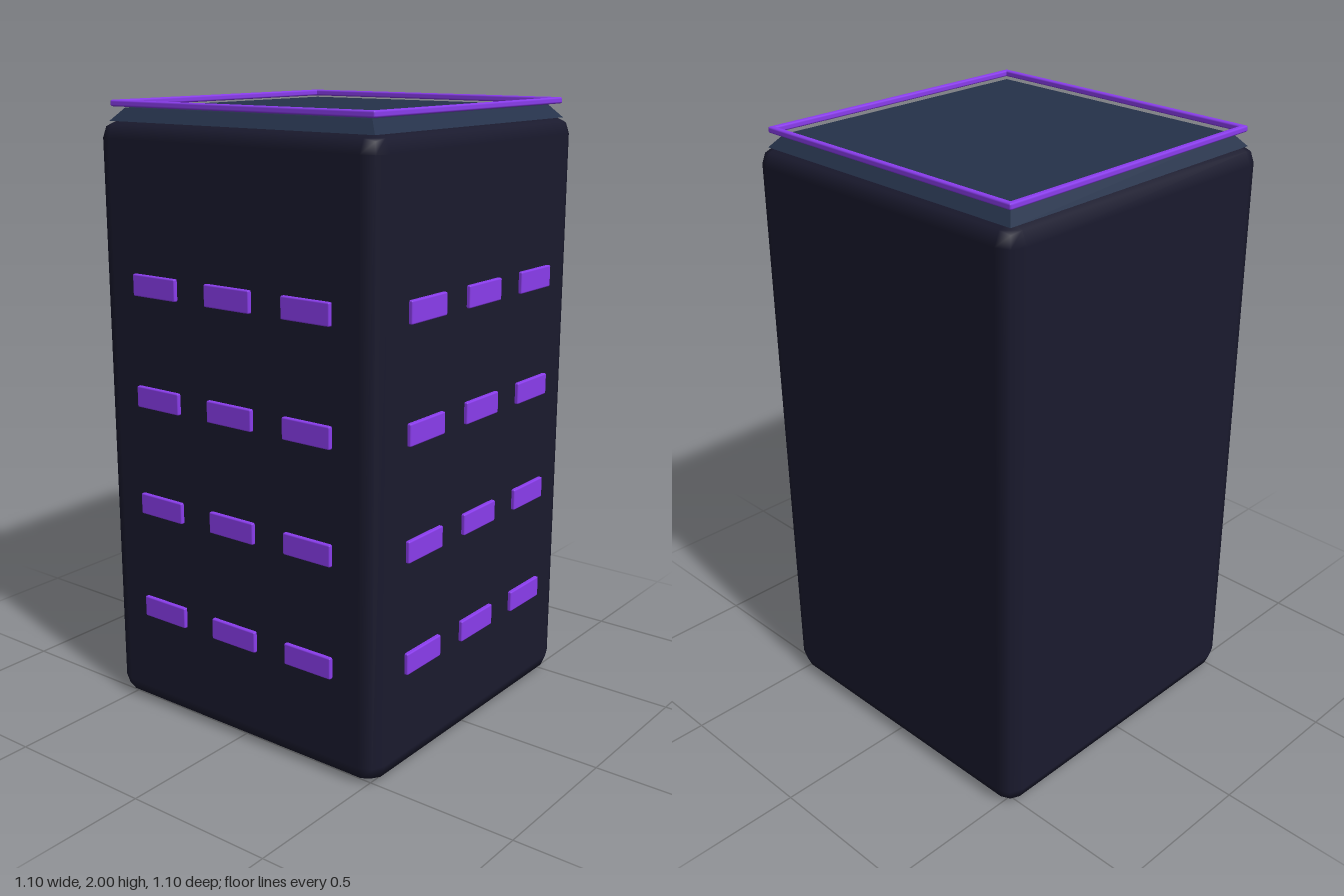
import * as THREE from 'three';
import { RoundedBoxGeometry } from 'three/addons/geometries/RoundedBoxGeometry.js';

export function createModel() {
  const model = new THREE.Group();
  const tower = new THREE.Group();
  tower.name = 'tower';
  tower.position.set(-0.007, 0, -0.007);
  model.add(tower);

  const wallMat = new THREE.MeshStandardMaterial({ color: 0x1a1a2e });
  const roofMat = new THREE.MeshStandardMaterial({ color: 0x25324a, flatShading: true });
  const glowMat = new THREE.MeshStandardMaterial({ color: 0x8b3dee });

  const add = (parent, name, geometry, material, x, y, z) => {
    const mesh = new THREE.Mesh(geometry, material);
    mesh.name = name;
    mesh.position.set(x, y, z);
    parent.add(mesh);
    return mesh;
  };

  // Main block with softened edges
  const half = 0.545, height = 1.945;
  add(tower, 'body', new RoundedBoxGeometry(half * 2, height, half * 2, 1, 0.06), wallMat, 0, height / 2, 0);

  // Bevelled roof slab: a four-sided frustum
  const roof = new THREE.CylinderGeometry(0.477 * Math.SQRT2, 0.512 * Math.SQRT2, 0.04, 4);
  roof.rotateY(Math.PI / 4);
  add(tower, 'roofSlab', roof, roofMat, 0, 1.956, 0);

  // Square trim floating just above the roof
  const trim = new THREE.Group();
  trim.name = 'roofTrim';
  tower.add(trim);
  const bar = new RoundedBoxGeometry(1.02, 0.02, 0.02, 1, 0.006);
  for (let i = 0; i < 4; i++) {
    const angle = (i * Math.PI) / 2;
    const m = add(trim, 'trimBar', bar, glowMat, Math.sin(angle) * 0.5, 1.99, Math.cos(angle) * 0.5);
    m.rotation.y = angle;
  }

  // Window grids on the front and the left side
  const pane = new RoundedBoxGeometry(0.18, 0.07, 0.025, 1, 0.005);
  for (const [name, angle] of [['frontWindows', 0], ['leftWindows', Math.PI / 2]]) {
    const grid = new THREE.Group();
    grid.name = name;
    grid.rotation.y = angle;
    tower.add(grid);
    for (let row = 1; row <= 4; row++) {
      for (let col = -1; col <= 1; col++) {
        add(grid, 'window', pane, glowMat, col * 0.3, row * 0.36, half);
      }
    }
  }
  return model;
}
